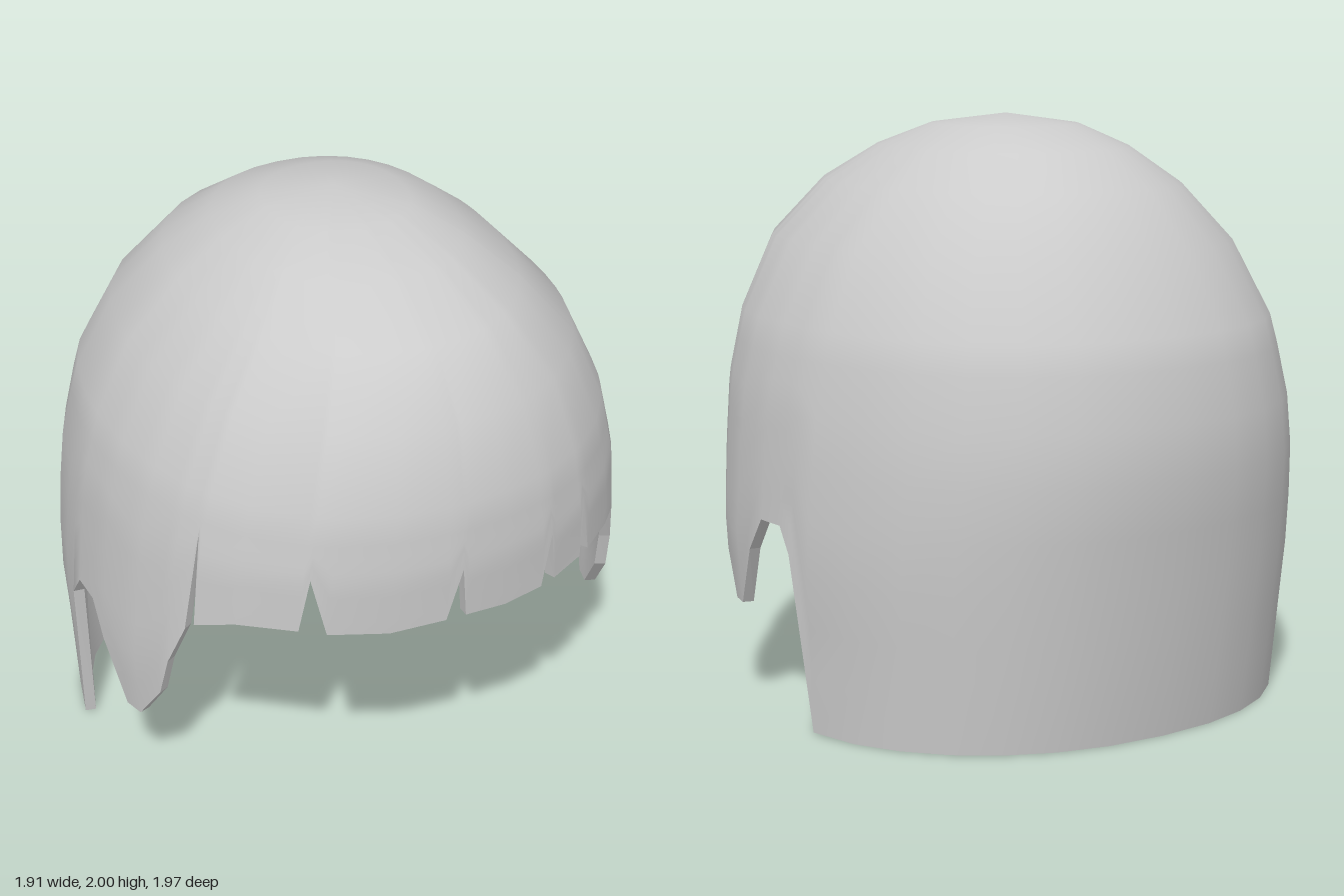
import * as THREE from 'three';
import { mergeVertices } from 'three/addons/utils/BufferGeometryUtils.js';

// Cross-sections of the shell: height, half width, front depth, back depth
const SECTIONS = [
  [2, 0, 0, 0], [1.965, 0.24, 0.27, 0.25], [1.89, 0.39, 0.5, 0.45], [1.77, 0.55, 0.73, 0.63],
  [1.58, 0.73, 0.9, 0.785], [1.33, 0.85, 0.97, 0.92], [1.1, 0.91, 0.985, 0.975],
  [0.87, 0.935, 0.97, 0.985], [0.6, 0.957, 0.95, 0.95], [0.35, 0.94, 0.93, 0.92], [0, 0.925, 0.9, 0.87],
];
const ROUND = 2.2; // superellipse exponent of every cross-section

// Fringe edge: x, y from the right side to the left, with notches between strands
const FRINGE = [
  [-0.78, 0.85], [-0.69, 0.9], [-0.53, 0.91], [-0.51, 1.11], [-0.45, 0.9], [-0.26, 0.89], [-0.07, 0.9],
  [-0.02, 1.09], [0, 0.9], [0.15, 0.89], [0.3, 0.895], [0.34, 1.09], [0.36, 0.9], [0.49, 0.91],
  [0.51, 1.11], [0.54, 0.91], [0.67, 0.9], [0.78, 0.85],
];
// Side edge: z, y from the temple notch, round the sideburn and ear, to the nape
const SIDE = [
  [0.57, 1.19], [0.55, 0.82], [0.49, 0.66], [0.45, 0.51], [0.34, 0.36], [0.27, 0.36],
  [0.16, 0.57], [0.08, 0.685], [-0.04, 0.685], [-0.1, 0.6], [-0.175, 0.01],
];

function sectionAt(y) {
  let i = 0;
  while (i < SECTIONS.length - 2 && SECTIONS[i + 1][0] > y) i++;
  const p = SECTIONS[i], q = SECTIONS[i + 1];
  const t = (p[0] - y) / (p[0] - q[0]);
  return [1, 2, 3].map((k) => THREE.MathUtils.lerp(p[k], q[k], t));
}

const signedPow = (v, e) => Math.sign(v) * Math.pow(Math.abs(v), e);

// Point on the outer or inner skin; angle 0 is the front, positive towards +x
function skinPoint(angle, y, inner) {
  const [a, f, b] = sectionAt(y);
  const s = inner ? 0.96 : 1, c = Math.cos(angle);
  return [
    s * a * signedPow(Math.sin(angle), 2 / ROUND),
    inner ? y - 0.035 * Math.max(0, y - 1) : y,
    s * (c > 0 ? f : b) * signedPow(c, 2 / ROUND),
  ];
}

// Columns of the shell as [angle, height of the lower edge]
function makeColumns() {
  const width = sectionAt(0.9)[0];
  const fringe = FRINGE.map(([x, y]) => [Math.asin(signedPow(x / width, ROUND / 2)), y]);
  const side = SIDE.map(([z, y]) => {
    const [, f, b] = sectionAt(y);
    return [Math.acos(signedPow(z / (z > 0 ? f : b), ROUND / 2)), y];
  });
  const start = side[side.length - 1][0], steps = 7;
  for (let i = 1; i <= steps; i++) side.push([start + ((Math.PI - start) * i) / steps, 0.005]);
  const right = side.map(([angle, y]) => [-angle, y]).reverse();
  return [...right, ...fringe, ...side];
}

function geometryFrom(points, faces, smooth) {
  let g = new THREE.BufferGeometry();
  g.setAttribute('position', new THREE.Float32BufferAttribute(points.flat(), 3));
  g.setIndex(faces);
  g = smooth ? mergeVertices(g, 1e-4) : g.toNonIndexed();
  g.computeVertexNormals();
  return g;
}

// Shared rows over the crown, then rows that spread down to the edge of each column
function makeSkin(columns, inner) {
  const crown = SECTIONS.map((s) => s[0]).filter((y) => y > 1.3);
  crown.push(1.23);
  const lower = 7, rows = crown.length + lower;
  const points = [], faces = [];
  columns.forEach(([angle, edge], i) => {
    for (let j = 0; j < rows; j++) {
      const y = j < crown.length ? crown[j]
        : THREE.MathUtils.lerp(1.23, edge, (j - crown.length + 1) / lower);
      points.push(skinPoint(angle, y, inner));
    }
    if (i === columns.length - 1) return;
    for (let j = 0; j < rows - 1; j++) {
      const a = i * rows + j, b = a + rows;
      if (inner) faces.push(a, b, a + 1, b, b + 1, a + 1);
      else faces.push(a, a + 1, b, b, a + 1, b + 1);
    }
  });
  return geometryFrom(points, faces, true);
}

// Narrow band joining both skins along the cut edge
function makeRim(columns) {
  const points = [], faces = [];
  columns.forEach(([angle, edge], i) => {
    points.push(skinPoint(angle, edge, false), skinPoint(angle, edge, true));
    if (i === columns.length - 1) return;
    const o = i * 2;
    faces.push(o, o + 1, o + 2, o + 2, o + 1, o + 3);
  });
  return geometryFrom(points, faces, false);
}

export function createModel() {
  const group = new THREE.Group();
  group.name = 'hair';
  const material = new THREE.MeshStandardMaterial({ color: 0xcccccc });
  const columns = makeColumns();
  const add = (name, geometry) => {
    const mesh = new THREE.Mesh(geometry, material);
    mesh.name = name;
    group.add(mesh);
  };
  add('outerHair', makeSkin(columns, false));
  add('innerHair', makeSkin(columns, true));
  add('cutEdge', makeRim(columns));
  return group;
}
